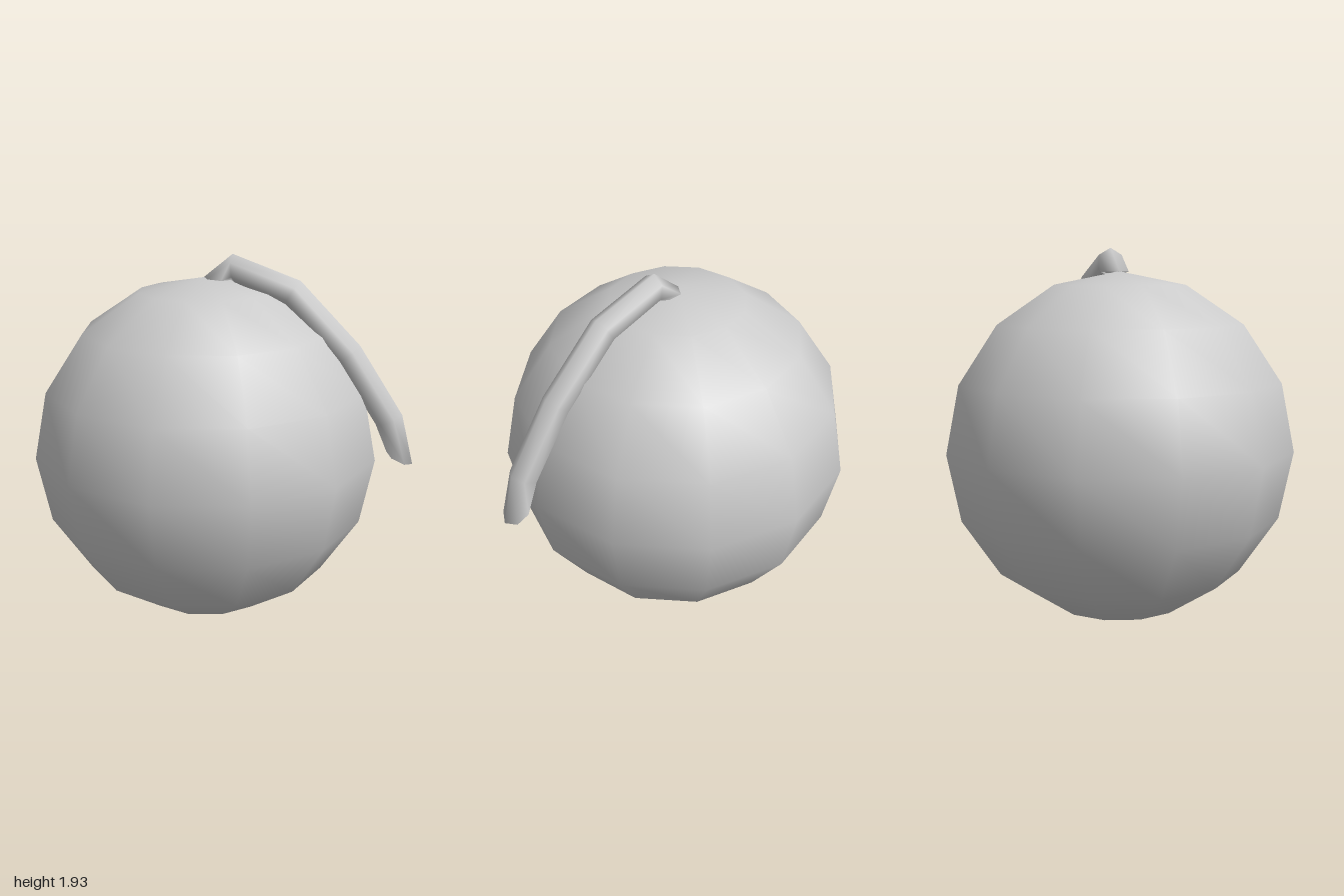
import * as THREE from 'three';

// Six-sided open tube swept through rings of [x, y, angle of the outward normal in degrees]
function ringTube(rings, radius, sides) {
  const pos = [], nor = [], index = [];
  rings.forEach(([x, y, deg], i) => {
    const t = THREE.MathUtils.degToRad(deg);
    for (let j = 0; j < sides; j++) {
      const a = (j / sides) * Math.PI * 2;
      const n = [Math.cos(a) * Math.cos(t), Math.cos(a) * Math.sin(t), Math.sin(a)];
      pos.push(x + radius * n[0], y + radius * n[1], radius * n[2]);
      nor.push(...n);
      if (i < rings.length - 1) {
        const p = i * sides + j, q = i * sides + (j + 1) % sides;
        index.push(p, q, p + sides, q, q + sides, p + sides);
      }
    }
  });
  const g = new THREE.BufferGeometry();
  g.setAttribute('position', new THREE.Float32BufferAttribute(pos, 3));
  g.setAttribute('normal', new THREE.Float32BufferAttribute(nor, 3));
  g.setIndex(index);
  return g;
}

export function createModel() {
  const model = new THREE.Group();
  model.name = 'ballWithCurvedStem';

  // Smooth-shaded low-poly ball
  const ball = new THREE.Mesh(
    new THREE.SphereGeometry(0.905, 12, 8),
    new THREE.MeshStandardMaterial({ color: 0xcccccc })
  );
  ball.name = 'ball';
  ball.position.set(-0.095, 0.905, 0);

  // Stem rises from the crown and arcs down the left side
  const rings = [
    [-0.03, 1.805, 176],
    [0.055, 1.86, 95],
    [0.362, 1.75, 58],
    [0.654, 1.455, 39],
    [0.87, 1.13, 24],
    [0.933, 0.932, -22],
  ];
  const stem = new THREE.Mesh(
    ringTube(rings, 0.072, 6),
    new THREE.MeshStandardMaterial({ color: 0xcccccc, side: THREE.DoubleSide })
  );
  stem.name = 'curvedStem';

  model.add(ball, stem);
  return model;
}
